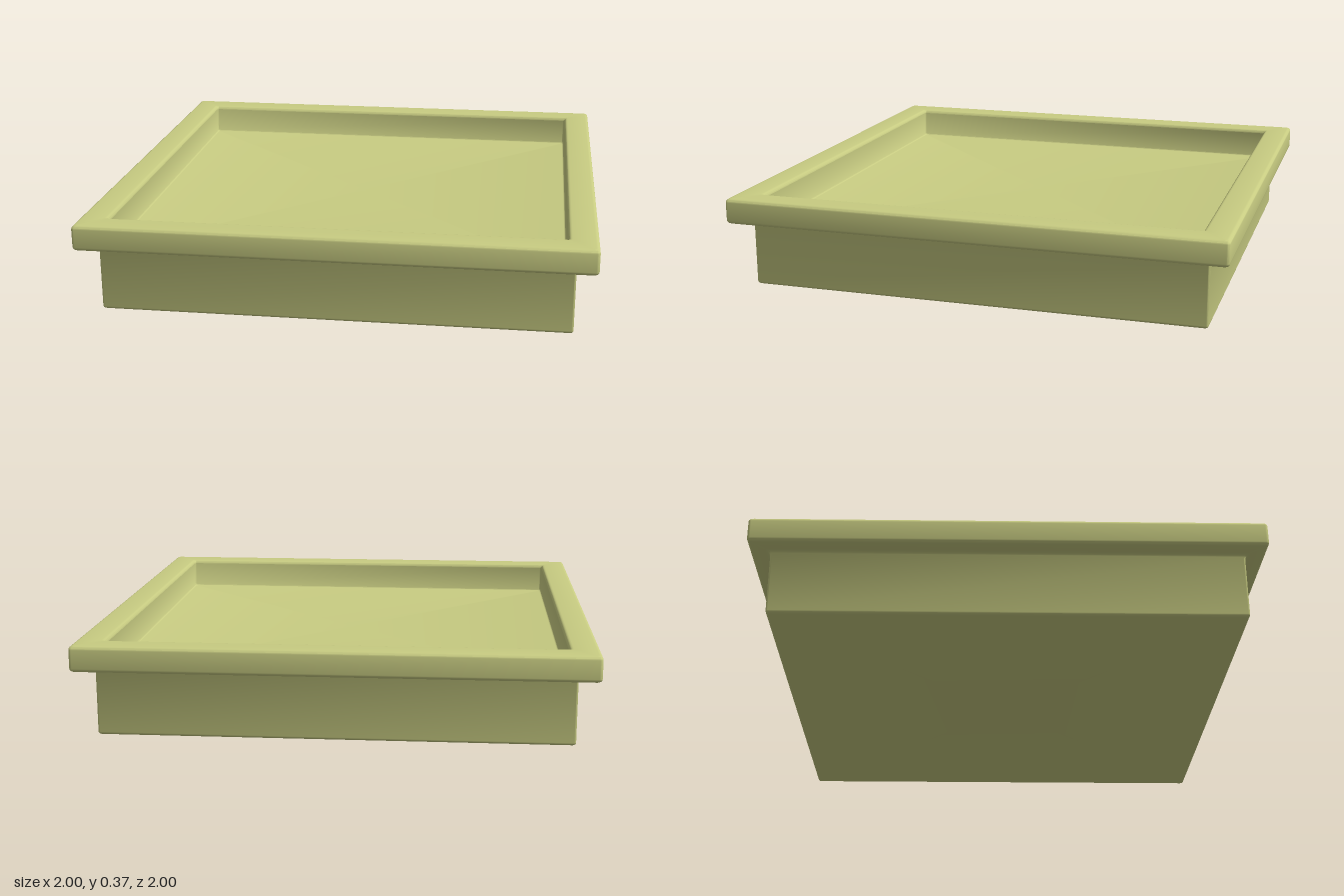
import * as THREE from 'three';
import { toCreasedNormals } from 'three/addons/utils/BufferGeometryUtils.js';

const CORNER_STEPS = 4;

// Outline of a square with rounded corners, at one height
function squareRing(half, y, radius) {
  const r = Math.min(radius, half);
  const points = [];
  for (let corner = 0; corner < 4; corner++) {
    const mid = (corner + 0.5) * Math.PI / 2;
    const cx = Math.sign(Math.cos(mid)) * (half - r);
    const cz = Math.sign(Math.sin(mid)) * (half - r);
    for (let s = 0; s <= CORNER_STEPS; s++) {
      const a = (corner + s / CORNER_STEPS) * Math.PI / 2;
      points.push([cx + r * Math.cos(a), y, cz + r * Math.sin(a)]);
    }
  }
  return points;
}

// Carries a profile of [half width, height] points around the square
function squareSweep(name, profile, radius, material) {
  const rings = profile.map(([half, y]) => squareRing(half, y, radius));
  const positions = [];
  for (let i = 0; i < rings.length - 1; i++) {
    const n = rings[i].length;
    for (let j = 0; j < n; j++) {
      const k = (j + 1) % n;
      const a = rings[i][j], b = rings[i][k], c = rings[i + 1][j], d = rings[i + 1][k];
      if (profile[i][0] > 0) positions.push(...a, ...c, ...b);
      if (profile[i + 1][0] > 0) positions.push(...b, ...c, ...d);
    }
  }
  const geometry = new THREE.BufferGeometry();
  geometry.setAttribute('position', new THREE.Float32BufferAttribute(positions, 3));
  const mesh = new THREE.Mesh(toCreasedNormals(geometry, 0.7), material);
  mesh.name = name;
  return mesh;
}

// Quarter round in the profile, from one angle to another (degrees)
function round(cx, cy, r, from, to, steps = 4) {
  return Array.from({ length: steps + 1 }, (_, i) => {
    const a = THREE.MathUtils.degToRad(from + (to - from) * i / steps);
    return [cx + r * Math.cos(a), cy + r * Math.sin(a)];
  });
}

export function createModel() {
  const group = new THREE.Group();
  group.name = 'tray';
  const material = new THREE.MeshStandardMaterial({ color: 0xc8cc82 });

  // Base: flat underside, rounded foot edge, straight wall, small cove under the rim
  const base = [
    [0, 0],
    ...round(0.908, 0.012, 0.012, -90, 0),
    ...round(0.935, 0.253, 0.015, 180, 90),
  ];
  // Rim: overhanging lip with rounded edges
  const rim = [
    [0.935, 0.268],
    ...round(0.985, 0.283, 0.015, -90, 0),
    ...round(0.985, 0.355, 0.015, 0, 90),
    ...round(0.9, 0.355, 0.015, 90, 180),
  ];
  // Recess: inner wall, tight fillet and flat floor
  const recess = [
    [0.885, 0.355],
    ...round(0.877, 0.248, 0.008, 0, -90),
    [0, 0.24],
  ];

  group.add(
    squareSweep('base', base, 0.008, material),
    squareSweep('rim', rim, 0.012, material),
    squareSweep('recess', recess, 0.012, material),
  );
  return group;
}
